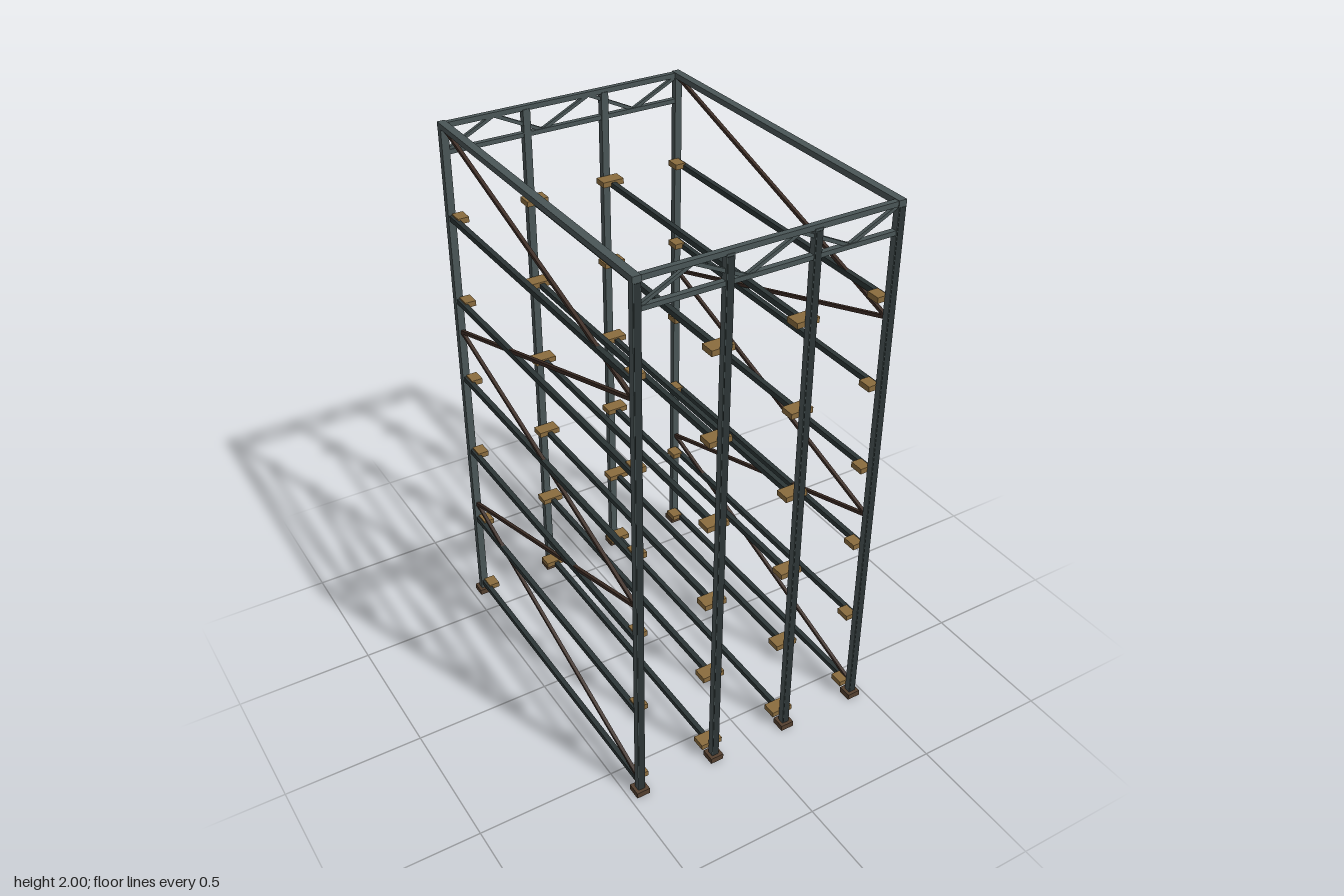
import * as THREE from 'three';

const material = (name, color) => {
  const m = new THREE.MeshStandardMaterial({ color });
  m.name = name;
  return m;
};

export function createModel() {
  const slate = material('slate steel', 0x4a5657);
  const dark = material('dark steel', 0x2c3536);
  const bronze = material('brace brown', 0x3c2c24);
  const ochre = material('bracket ochre', 0x8a6c3e);
  const brown = material('foot brown', 0x54402f);

  const model = new THREE.Group();
  model.name = 'storageRack';

  const box = (name, mat, w, h, d, x, y, z) => {
    const mesh = new THREE.Mesh(new THREE.BoxGeometry(w, h, d), mat);
    mesh.name = name;
    mesh.position.set(x, y, z);
    model.add(mesh);
    return mesh;
  };

  // Square bar running between two points
  const bar = (name, mat, from, to, size) => {
    const a = new THREE.Vector3(...from);
    const b = new THREE.Vector3(...to);
    const mid = a.clone().add(b).multiplyScalar(0.5);
    const mesh = box(name, mat, size, size, a.distanceTo(b), mid.x, mid.y, mid.z);
    mesh.lookAt(b);
  };

  const X = 0.452, Z = 0.619;
  const postXs = [-X, -0.151, 0.151, X];
  const levels = [0, 1, 2, 3, 4, 5].map((i) => 0.049 + i * 0.322);

  for (const x of postXs) {
    const outer = Math.abs(x) > 0.4;
    for (const side of [-1, 1]) {
      // Uprights with a dark face strip, on foot plates
      box('post', slate, 0.027, 1.97, 0.024, x, 1.0, side * Z);
      box('postFaceStrip', dark, 0.022, 1.955, 0.003, x, 1.0, side * (Z + 0.012));
      box('foot', brown, 0.05, 0.022, 0.05, x, 0.011, side * Z);

      // Beam brackets; the outer ones reach inwards only
      for (const y of levels) {
        const w = outer ? 0.04 : 0.082;
        const cx = outer ? Math.sign(x) * (X - 0.02) : x;
        box('beamBracket', ochre, w, 0.02, 0.052, cx, y + 0.006, side * 0.582);
      }
    }
    // Long shelf beams
    for (const y of levels) box('shelfBeam', dark, 0.018, 0.02, 1.224, x, y, 0);
  }

  for (const side of [-1, 1]) {
    // Top side rails
    box('topRail', slate, 0.028, 0.02, 1.262, side * X, 1.99, 0);

    // Zigzag braces on each long side
    for (let i = 0; i < 5; i++) {
      const z = i % 2 ? -0.61 : 0.61;
      const y = 0.058 + i * 0.385;
      bar('sideBrace', bronze, [side * X, y, z], [side * X, y + 0.385, -z], 0.012);
    }

    // Truss across each short end
    box('trussTopChord', slate, 0.93, 0.018, 0.019, 0, 1.989, side * Z);
    box('trussBottomChord', slate, 0.904, 0.016, 0.019, 0, 1.895, side * Z);
    for (let i = 0; i < 5; i++) {
      const x = -0.45 + i * 0.18;
      const [y0, y1] = i % 2 ? [1.985, 1.897] : [1.897, 1.985];
      bar('trussWeb', slate, [x, y0, side * Z], [x + 0.18, y1, side * Z], 0.012);
    }
  }
  return model;
}
